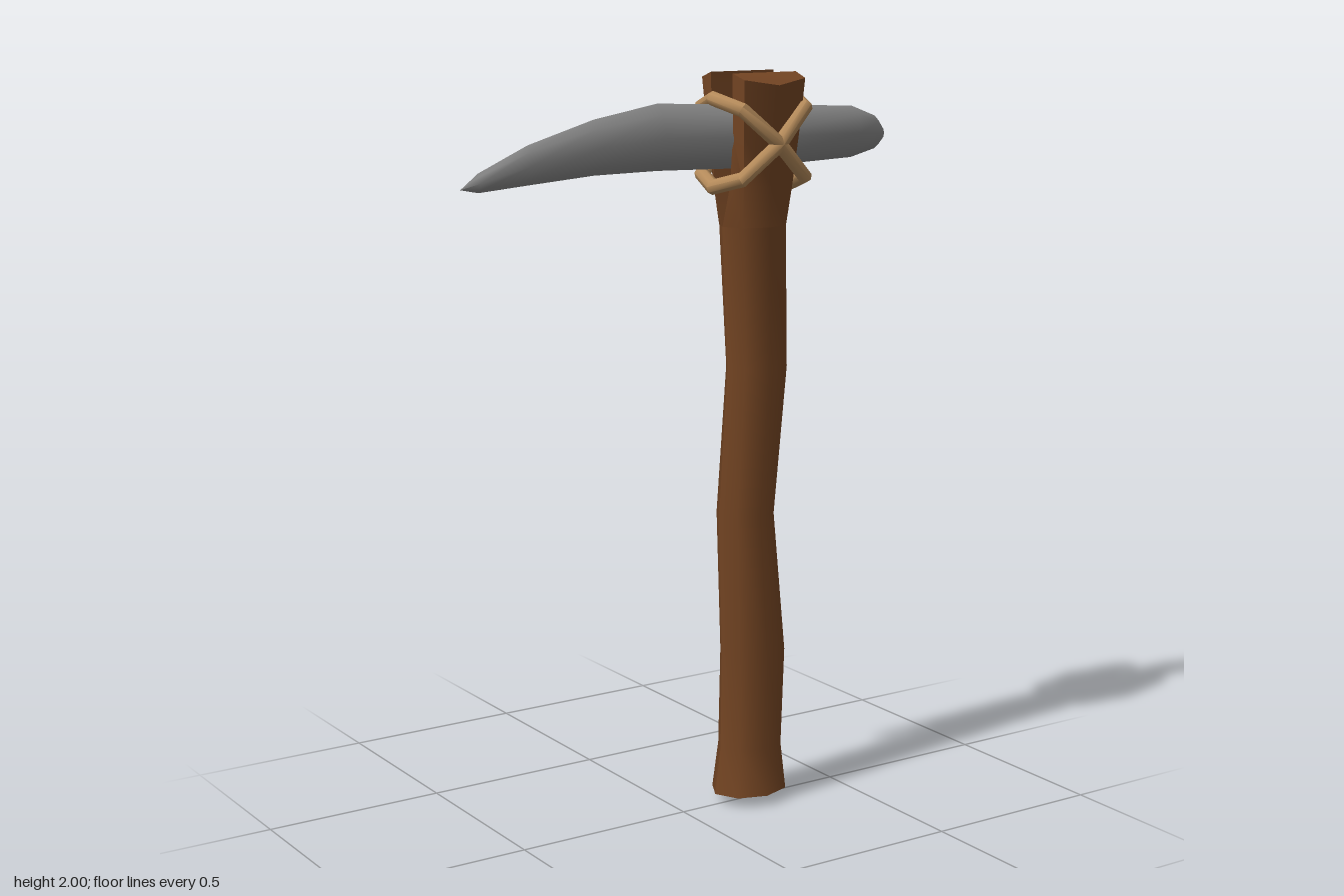
import * as THREE from 'three';
import { toCreasedNormals } from 'three/addons/utils/BufferGeometryUtils.js';

const V = (x, y, z) => new THREE.Vector3(x, y, z);

// Skin a list of cross-section rings (counter-clockwise about the direction of travel).
// Ends get fan caps, or the last ring joins the first when closed.
function skin(rings, { closed = false, startTip, endTip } = {}) {
  const n = rings[0].length, m = rings.length;
  const points = rings.flat(), index = [];
  const steps = closed ? m : m - 1;
  for (let i = 0; i < steps; i++) {
    const k = (i + 1) % m;
    for (let j = 0; j < n; j++) {
      const a = i * n + j, b = i * n + (j + 1) % n, c = k * n + j, d = k * n + (j + 1) % n;
      index.push(a, b, c, b, d, c);
    }
  }
  if (!closed) {
    const mean = (r) => r.reduce((s, p) => s.add(p), V(0, 0, 0)).divideScalar(n);
    const s = points.push(startTip || mean(rings[0])) - 1;
    const e = points.push(endTip || mean(rings[m - 1])) - 1;
    for (let j = 0; j < n; j++) {
      const q = (j + 1) % n, o = (m - 1) * n;
      index.push(s, q, j, e, o + j, o + q);
    }
  }
  const g = new THREE.BufferGeometry().setFromPoints(points);
  g.setIndex(index);
  return toCreasedNormals(g, 0.9);
}

const circle = (n, f) => Array.from({ length: n }, (_, j) => {
  const t = (j / n) * Math.PI * 2;
  return f(Math.cos(t), Math.sin(t));
});

export function createModel() {
  const wood = new THREE.MeshStandardMaterial({ color: 0x744523 });
  wood.name = 'brown wood';
  const stone = new THREE.MeshStandardMaterial({ color: 0x868686 });
  stone.name = 'grey stone';
  const cord = new THREE.MeshStandardMaterial({ color: 0xb48a5a });
  cord.name = 'tan cord';

  const model = new THREE.Group();
  model.name = 'pickaxe';
  const add = (name, geometry, material) => {
    const mesh = new THREE.Mesh(geometry, material);
    mesh.name = name;
    model.add(mesh);
    return mesh;
  };

  // Crooked handle: y, left edge, right edge, half depth
  const shaft = [
    [0.03, 0.105, 0.33, 0.09], [0.16, 0.122, 0.315, 0.075], [0.43, 0.125, 0.328, 0.072],
    [0.82, 0.115, 0.284, 0.07], [1.22, 0.14, 0.328, 0.066], [1.6, 0.122, 0.314, 0.08],
  ].map(([y, x0, x1, rz]) =>
    circle(8, (c, s) => V((x0 + x1) / 2 + c * (x1 - x0) / 2, y, -s * rz)));
  add('handle', skin(shaft, { startTip: V(0.217, 0, 0) }), wood);

  // Split top of the handle: y, half width, inner z, outer z, shoulder width, shoulder depth
  const prong = [
    [1.6, 0.096, 0, 0.08, 0.71, 0.71], [1.71, 0.097, 0.036, 0.086, 0.8, 0.7],
    [1.84, 0.097, 0.048, 0.1, 0.9, 0.7], [1.985, 0.1, 0.05, 0.118, 0.96, 0.7],
  ];
  for (const side of [1, -1]) {
    const rings = prong.map(([y, w, zi, zo, k, d], i) => {
      const lip = i === 3 ? 0.015 : 0; // top slopes down to the outside
      const zm = zi + (zo - zi) * d;
      return [[w, zi, lip], [w * k, zm, 0], [0, zo, -lip], [-w * k, zm, 0], [-w, zi, lip]]
        .map(([x, z, dy]) => V(0.218 + side * x, y + dy, -side * z));
    });
    add(side > 0 ? 'backProng' : 'frontProng', skin(rings), wood);
  }

  // Curved stone head: x, top, bottom, half thickness
  const head = [
    [-0.6, 1.778, 1.73, 0.014], [-0.46, 1.84, 1.741, 0.023], [-0.27, 1.895, 1.755, 0.034],
    [-0.08, 1.928, 1.757, 0.044], [0.2, 1.915, 1.75, 0.055], [0.54, 1.9, 1.762, 0.047],
    [0.62, 1.87, 1.782, 0.026], [0.648, 1.836, 1.808, 0.006],
  ].map(([x, y1, y0, rz]) =>
    circle(8, (c, s) => V(x, (y1 + y0) / 2 + c * (y1 - y0) / 2, s * rz)));
  add('stoneHead', skin(head, { startTip: V(-0.65, 1.74, 0), endTip: V(0.65, 1.822, 0) }), stone);

  // Two cord loops crossing over the front and back
  for (const side of [1, -1]) {
    const reach = V(0.126, 0.114 * side, 0);
    const u = reach.clone().normalize(), v = V(0, 0, 1);
    const normal = u.clone().cross(v);
    const rings = circle(8, (c, s) => {
      const diagonal = Math.abs(c * s) > 0.1 ? 1.1 : 1;
      const p = V(0.218, 1.82, 0).addScaledVector(reach, c * diagonal)
        .addScaledVector(v, s * 0.121 * diagonal);
      const out = u.clone().multiplyScalar(c).addScaledVector(v, s);
      return circle(8, (a, b) => p.clone().addScaledVector(out, a * 0.021)
        .addScaledVector(normal, -b * 0.02));
    });
    add(side > 0 ? 'risingCord' : 'fallingCord', skin(rings, { closed: true }), cord);
  }

  return model;
}
